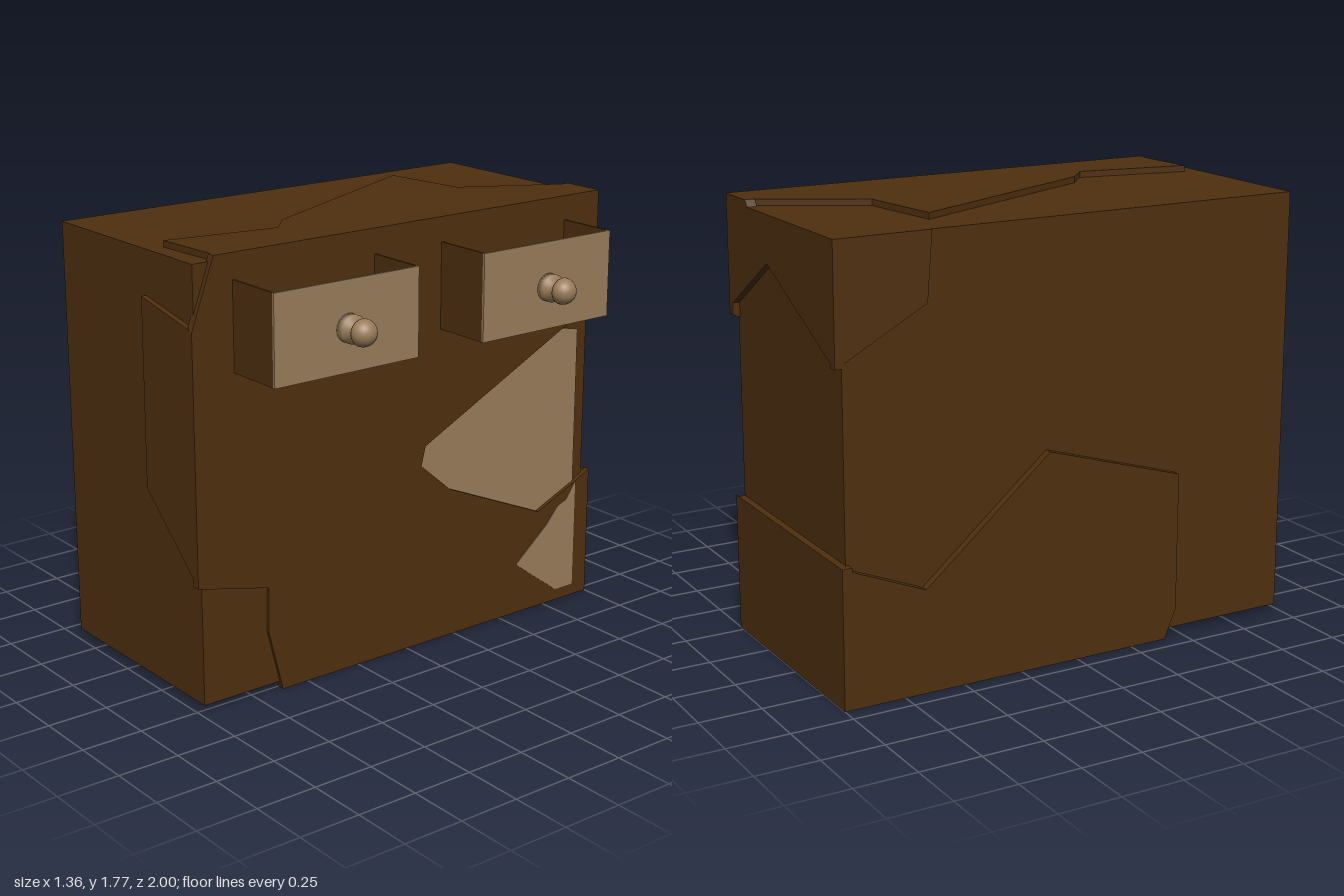
import * as THREE from 'three';

const brown = new THREE.MeshStandardMaterial({ color: 0x4f300f, side: THREE.DoubleSide });
const pale = new THREE.MeshStandardMaterial({ color: 0x9a7d5a, side: THREE.DoubleSide });

// Polygon slab facing an axis. Points are [z,y] for x, [x,z] for y, [x,y] for z.
function slab(name, axis, points, from, to, material = brown) {
  const flat = points.map(([a, b]) =>
    axis === 'x' ? new THREE.Vector2(-a, b) : axis === 'y' ? new THREE.Vector2(a, -b) : new THREE.Vector2(a, b));
  const geo = new THREE.ExtrudeGeometry(new THREE.Shape(flat), { depth: to - from, bevelEnabled: false });
  geo.translate(0, 0, from);
  if (axis === 'x') geo.rotateY(Math.PI / 2);
  if (axis === 'y') geo.rotateX(-Math.PI / 2);
  const mesh = new THREE.Mesh(geo, material);
  mesh.name = name;
  return mesh;
}

// Box given by its lower and upper corners
function box(name, lo, hi, material = brown) {
  const size = hi.map((h, i) => h - lo[i]);
  const mesh = new THREE.Mesh(new THREE.BoxGeometry(...size), material);
  mesh.position.set(...hi.map((h, i) => (h + lo[i]) / 2));
  mesh.name = name;
  return mesh;
}

// Turned knob, its axis along +x
function knob() {
  const profile = [[0, 0], [0.055, 0], [0.055, 0.035], [0.03, 0.04], [0.025, 0.055], [0.03, 0.07], [0.048, 0.074]]
    .map(([r, h]) => new THREE.Vector2(r, h));
  for (let i = 0; i <= 8; i++) {
    const t = (i / 8) * Math.PI / 2;
    profile.push(new THREE.Vector2(0.053 * Math.cos(t), 0.085 + 0.055 * Math.sin(t)));
  }
  const mesh = new THREE.Mesh(new THREE.LatheGeometry(profile, 24), pale);
  mesh.rotation.z = -Math.PI / 2;
  mesh.name = 'knob';
  return mesh;
}

// Open-topped drawer pulled out of the cabinet
function drawer(z) {
  const g = new THREE.Group();
  const x0 = 0.26, x1 = 0.535, y0 = 1.32, y1 = 1.67, w = 0.33, t = 0.01;
  g.add(
    box('drawerFloor', [x0, y0, -w], [x1 - t, y0 + t, w]),
    box('drawerSide', [x0, y0, -w], [x1 - t, y1, -w + t]),
    box('drawerSide', [x0, y0, w - t], [x1 - t, y1, w]),
    box('drawerFront', [x1 - t, y0, -w], [x1, y1, w], pale));
  const k = knob();
  k.position.set(x1, 1.49, 0);
  g.add(k);
  g.position.z = z;
  g.name = 'drawer';
  return g;
}

export function createModel() {
  const model = new THREE.Group();
  model.name = 'crackedDresser';

  // Inner body that shows between the shards
  model.add(box('core', [-0.648, 0.03, -0.972], [0.262, 1.745, 0.978]));

  // Drawer side, notched where a shard is missing
  model.add(slab('drawerSideShell', 'x', [
    [0.9, 1.77], [1, 1.5], [1, 0.515], [0.68, 0.44], [0.685, 0.26], [0.62, 0],
    [-1, 0], [-1, 0.56], [-0.92, 0.52], [-0.71, 0.43], [-0.22, 0.64],
    [-0.07, 0.77], [-0.09, 0.85], [-1, 1.3], [-1, 1.77]], 0.25, 0.282));
  model.add(slab('lowerCornerShard', 'x',
    [[0.978, 0.03], [0.6, 0.03], [0.66, 0.45], [0.978, 0.52]], 0.25, 0.27));

  // Bare wood showing through
  model.add(slab('bareWood', 'x', [
    [-0.07, 0.77], [-0.09, 0.85], [-0.82, 1.21], [-0.92, 1.19], [-0.92, 0.52],
    [-0.71, 0.43], [-0.22, 0.64]], 0.25, 0.267, pale));
  model.add(slab('bareWoodChip', 'x', [
    [-0.59, 0.22], [-0.76, 0.36], [-0.82, 0.43], [-0.87, 0.45], [-0.92, 0.52],
    [-0.92, 0.05], [-0.82, 0.05]], 0.27, 0.285, pale));

  // Top shard
  model.add(slab('topShard', 'y', [
    [-0.48, -0.53], [-0.12, -0.58], [0.12, -1], [0.26, -1], [0.26, 0.89],
    [-0.03, 0.91], [0.05, 0.45], [-0.05, 0.36]], 1.73, 1.77));

  // Base shard
  model.add(slab('baseShard', 'y', [[0.26, -1], [0.26, 0.62], [-0.68, 0.41], [-0.68, -1]], 0, 0.04));

  // Front end shard
  model.add(slab('frontShard', 'z',
    [[-0.055, 0.82], [0.26, 0.535], [0.26, 1.51], [-0.05, 1.57]], 0.96, 1));

  // Back end shards
  model.add(slab('lowerBackShard', 'z', [[-0.68, 0], [0.26, 0], [0.26, 0.56], [-0.68, 0.55]], -1, -0.96));
  model.add(slab('upperBackShard', 'z', [
    [0.26, 1.34], [0.26, 1.77], [0.1, 1.77], [0.08, 1.745], [-0.65, 1.745],
    [-0.65, 1.28], [-0.085, 1.56]], -1, -0.96));

  // Plain long side shards
  model.add(slab('lowerSideShard', 'x', [
    [-1, 0], [-1, 0.55], [-0.66, 0.41], [-0.13, 0.86], [0.46, 0.68], [0.46, 0.12], [0.41, 0]], -0.68, -0.63));
  model.add(slab('upperSideShard', 'x',
    [[-1, 1.28], [-0.63, 1.48], [-0.61, 1.745], [-1, 1.745]], -0.653, -0.62));

  // Drawers
  for (const z of [0.49, -0.49]) model.add(drawer(z));

  return model;
}
